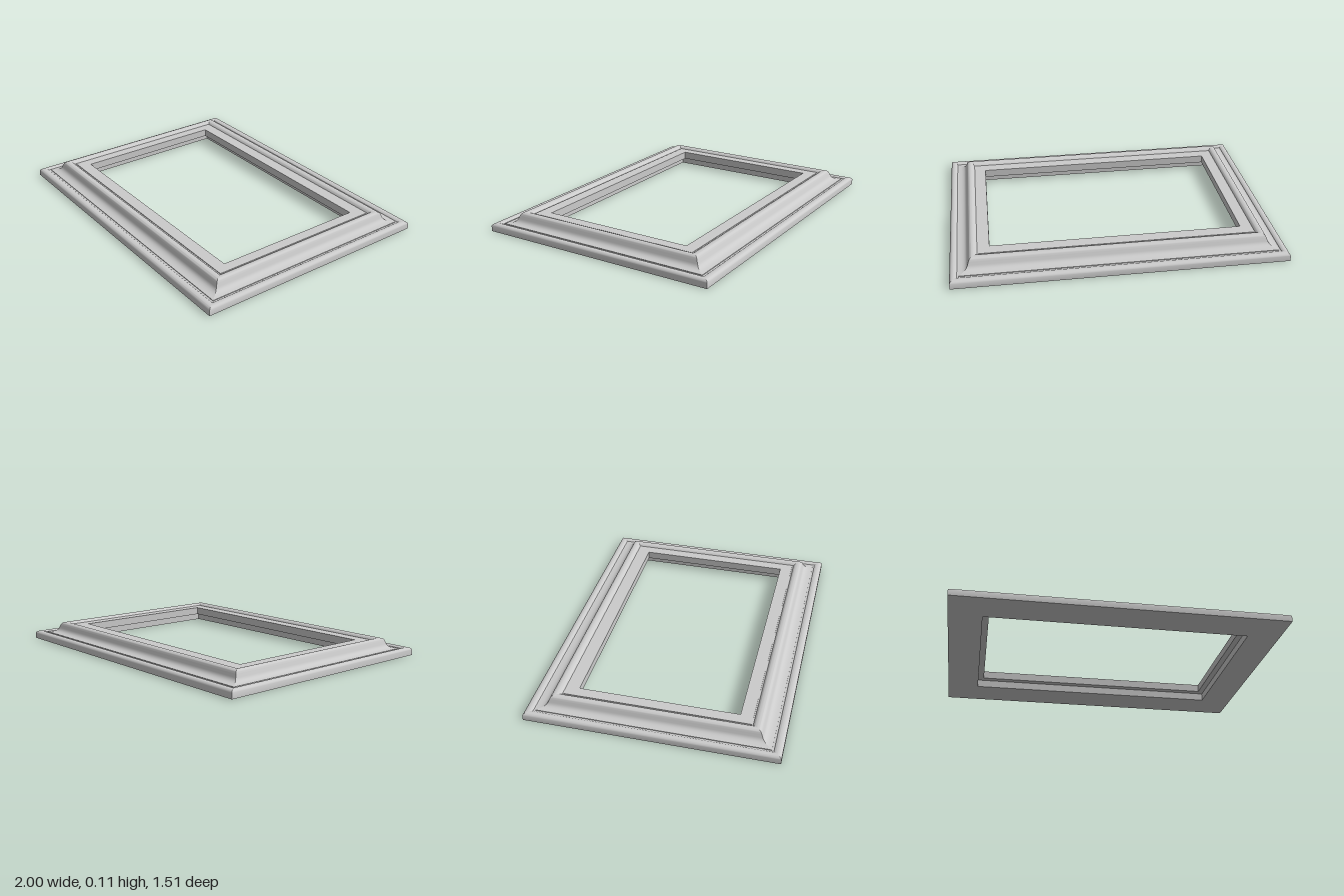
import * as THREE from 'three';
import { toCreasedNormals } from 'three/addons/utils/BufferGeometryUtils.js';

const HALF_X = 1;
const HALF_Z = 0.757;
const Z_STRETCH = 1.155; // the front and back rails are slightly wider

// Moulding cross-section: x = distance in from the outer edge, y = height
function mouldingProfile() {
  const path = new THREE.Path();
  path.moveTo(0, 0);
  path.lineTo(0, 0.034);
  // outer bead
  path.bezierCurveTo(0.004, 0.045, 0.012, 0.049, 0.022, 0.049);
  path.bezierCurveTo(0.033, 0.049, 0.04, 0.046, 0.043, 0.04);
  // fillet and cove
  path.lineTo(0.053, 0.04);
  path.lineTo(0.053, 0.044);
  path.bezierCurveTo(0.105, 0.046, 0.103, 0.066, 0.112, 0.088);
  // rounded crest, falling towards the opening
  path.bezierCurveTo(0.117, 0.103, 0.122, 0.109, 0.135, 0.109);
  path.bezierCurveTo(0.15, 0.109, 0.158, 0.104, 0.164, 0.093);
  path.lineTo(0.171, 0.093);
  // flat inner lip and the rebate beneath it
  path.lineTo(0.171, 0.097);
  path.lineTo(0.237, 0.097);
  path.lineTo(0.237, 0.048);
  path.lineTo(0.2, 0.048);
  path.lineTo(0.2, 0);
  path.lineTo(0, 0);
  return path.getPoints(8);
}

// One mitred rail between two corners, given as signs of x and z
function railGeometry(profile, from, to) {
  const place = ([sx, sz], p) => [
    sx * (HALF_X - p.x), p.y, sz * (HALF_Z - p.x * Z_STRETCH),
  ];
  const positions = [];
  for (let i = 0; i < profile.length - 1; i++) {
    const a = place(from, profile[i]);
    const b = place(to, profile[i]);
    const c = place(to, profile[i + 1]);
    const d = place(from, profile[i + 1]);
    positions.push(...a, ...b, ...c, ...a, ...c, ...d);
  }
  const geometry = new THREE.BufferGeometry();
  geometry.setAttribute('position', new THREE.Float32BufferAttribute(positions, 3));
  return toCreasedNormals(geometry, THREE.MathUtils.degToRad(32));
}

export function createModel() {
  const group = new THREE.Group();
  group.name = 'pictureFrame';
  const material = new THREE.MeshStandardMaterial({ color: 0xcccccc });
  const profile = mouldingProfile();
  const corners = [[-1, 1], [1, 1], [1, -1], [-1, -1]];
  const names = ['frontRail', 'leftRail', 'backRail', 'rightRail'];

  names.forEach((name, i) => {
    const rail = new THREE.Mesh(
      railGeometry(profile, corners[i], corners[(i + 1) % 4]), material);
    rail.name = name;
    group.add(rail);
  });
  return group;
}
